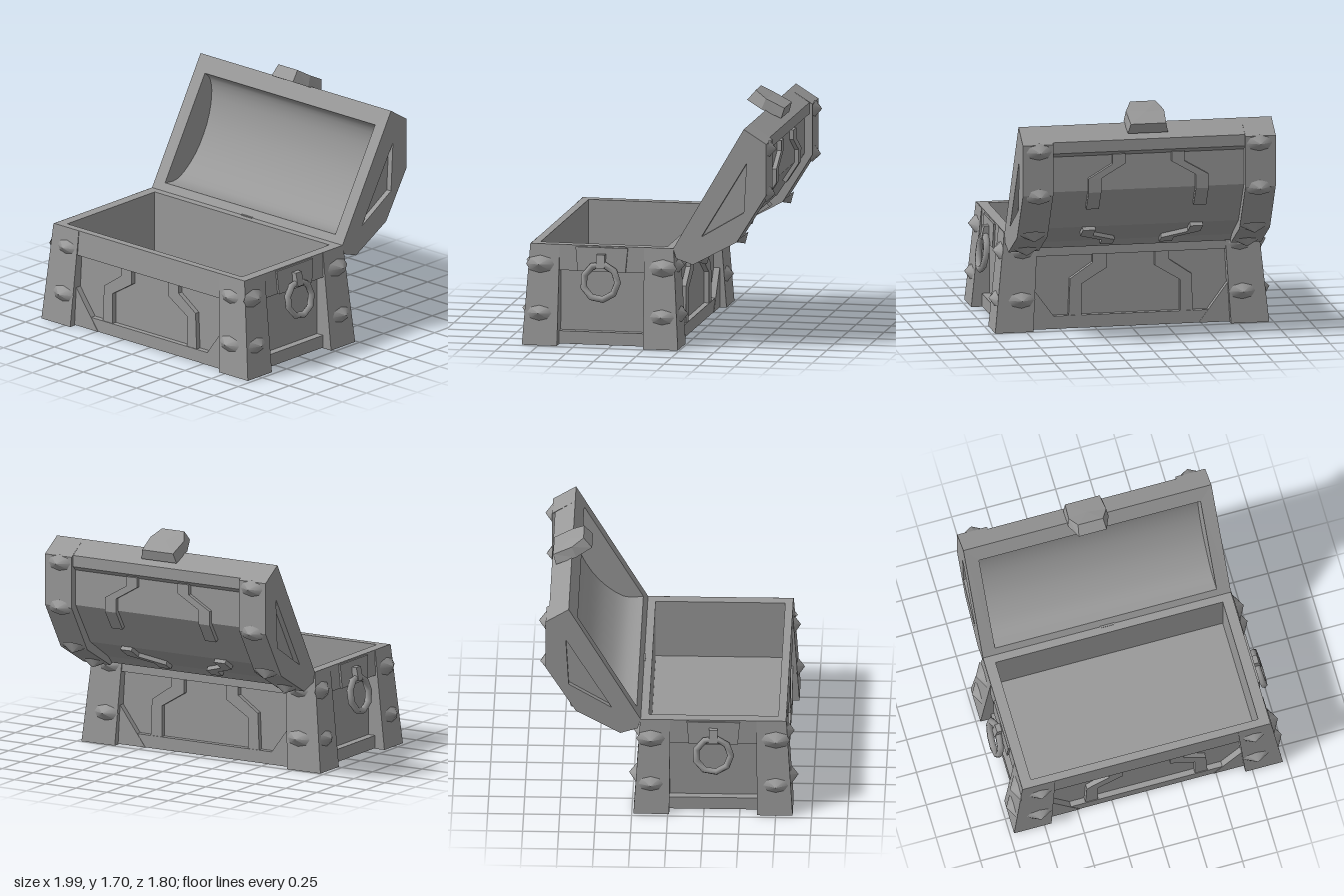
import * as THREE from 'three';

export function createModel() {
  const root = new THREE.Group();
  root.name = 'openChest';
  const grey = new THREE.MeshStandardMaterial({ color: 0x999999, side: THREE.DoubleSide });
  grey.name = 'plainGrey';

  const add = (name, geo, parent) => {
    const m = new THREE.Mesh(geo, grey);
    m.name = name;
    parent.add(m);
    return m;
  };

  // Open surface through rows of points with equal counts
  function sheet(rows, smooth = false) {
    const n = rows[0].length, index = [];
    for (let r = 0; r < rows.length - 1; r++) {
      for (let i = 0; i < n - 1; i++) {
        const a = r * n + i, b = a + n;
        index.push(a, a + 1, b + 1, a, b + 1, b);
      }
    }
    let g = new THREE.BufferGeometry();
    g.setAttribute('position', new THREE.Float32BufferAttribute(rows.flat(2), 3));
    g.setIndex(index);
    if (!smooth) g = g.toNonIndexed();
    g.computeVertexNormals();
    return g;
  }
  const closed = (pts) => [...pts, pts[0]];
  const centre = (loop) => [0, 1, 2].map((k) => loop.reduce((t, p) => t + p[k], 0) / loop.length);
  const fan = (loop) => Array(loop.length + 1).fill(centre(loop));

  // Solid through loops, closed at both ends
  const solid = (loops) => sheet([fan(loops[0]), ...loops.map(closed), fan(loops[loops.length - 1])]);

  // Horizontal rectangles [x0, x1, z0, z1] at a height
  const rect = ([x0, x1, z0, z1], y) => [[x0, y, z1], [x1, y, z1], [x1, y, z0], [x0, y, z0]];
  const ring = (x, z, y) => closed(rect([-x, x, -z, z], y));
  const block = (y0, r0, y1, r1 = r0) => solid([rect(r0, y0), rect(r1, y1)]);

  const toShape = (pts) => new THREE.Shape(pts.map((p) => new THREE.Vector2(...p)));
  const plate = (pts, z, depth) =>
    new THREE.ExtrudeGeometry(toShape(pts), { depth, bevelEnabled: false }).translate(0, 0, z);

  // Side profiles use u = -z, v = y
  const strip = (pts, x0, x1, smooth) =>
    sheet([x0, x1].map((x) => pts.map(([u, v]) => [x, v, -u])), smooth);
  function sidePlate(pts, x, hole) {
    const s = toShape(pts);
    if (hole) s.holes.push(new THREE.Path(hole.map((p) => new THREE.Vector2(...p))));
    return new THREE.ShapeGeometry(s).rotateY(Math.PI / 2).translate(x, 0, 0);
  }

  // Low pointed boss facing a direction, flattened along one of its axes
  function boss(parent, pos, dir, sx, sz) {
    const m = add('boss', new THREE.ConeGeometry(0.1, 0.055, 8, 1, true), parent);
    const d = new THREE.Vector3(...dir).normalize();
    m.quaternion.setFromUnitVectors(new THREE.Vector3(0, 1, 0), d);
    m.scale.set(sx, 1, sz);
    m.position.set(...pos).addScaledVector(d, 0.022);
  }

  // ---- Base, centred on its own origin ----
  const base = new THREE.Group();
  base.name = 'base';
  base.position.z = 0.315;
  root.add(base);

  add('walls', sheet([ring(0.84, 0.465, 0.1), ring(0.84, 0.465, 0.53)]), base);
  add('rim', sheet([ring(0.84, 0.465, 0.53), ring(0.9, 0.51, 0.53),
    ring(0.895, 0.505, 0.71), ring(0.82, 0.45, 0.71)]), base);
  add('cavity', sheet([ring(0.82, 0.45, 0.71), ring(0.82, 0.45, 0.28)]), base);
  add('floor', sheet([[[-0.82, 0.28, 0.45], [0.82, 0.28, 0.45]],
    [[-0.82, 0.28, -0.45], [0.82, 0.28, -0.45]]]), base);

  const strapPts = [[0.17, 0.53], [0.17, 0.43], [0.35, 0.32], [0.35, 0.1],
    [0.44, 0.1], [0.43, 0.36], [0.27, 0.47], [0.27, 0.53]];
  const gussetPts = [[0.7, 0.31], [0.48, 0.01], [0.7, 0.01]];
  const postFoot = [[0.7, 0.465], [0.7, 0.553], [0.97, 0.553], [0.97, 0.305], [0.84, 0.305]];
  const postHead = [[0.66, 0.465], [0.66, 0.508], [0.898, 0.508], [0.898, 0.3], [0.83, 0.3]];

  // Front and back are the same half turned around
  for (const turn of [0, Math.PI]) {
    const half = new THREE.Group();
    half.name = turn ? 'backHalf' : 'frontHalf';
    half.rotation.y = turn;
    base.add(half);

    add('longBottomRail', block(0.01, [-0.72, 0.72, 0.45, 0.505], 0.1), half);
    add('shortBottomRail', block(0.01, [0.83, 0.895, -0.32, 0.32], 0.1), half);

    for (const s of [-1, 1]) {
      const mir = (pts) => pts.map(([x, y]) => [s * x, y]);
      add('strap', plate(mir(strapPts), 0.465, 0.035), half);
      add('gusset', plate(mir(gussetPts), 0.465, 0.043), half);

      // Corner post wrapping around the edge
      add('cornerPost', sheet([[postFoot, 0.005], [postHead, 0.709]]
        .map(([pts, y]) => pts.map(([x, z]) => [s * x, y, z]))), half);
      for (const [y, out] of [[0.23, 0.035], [0.57, 0.008]]) {
        boss(half, [s * (0.765 + out / 2), y, 0.504 + out], [0, 0.06, 1], 1, 0.62);
        boss(half, [s * (0.91 + out), y, 0.435], [s, 0.1, 0], 0.62, 1);
      }
    }

    // Ring handle on each short side
    add('handlePlate', block(0.53, [0.89, 0.915, -0.17, 0.17], 0.7, [0.88, 0.908, -0.185, 0.185]), half);
    add('handleLoop', block(0.56, [0.9, 0.965, -0.03, 0.03], 0.655, [0.9, 0.945, -0.03, 0.03]), half);
    const handle = add('handleRing', new THREE.TorusGeometry(0.123, 0.024, 6, 9)
      .rotateY(Math.PI / 2).rotateZ(0.15), half);
    handle.position.set(0.952, 0.465, 0);
  }

  // ---- Lid, swung open ----
  const lid = new THREE.Group();
  lid.name = 'lid';
  root.add(lid);
  const outer = [[0.19, 0.71], [0.21, 0.64], [0.33, 0.6], [0.64, 0.77], [0.85, 1.11], [0.85, 1.47], [0.69, 1.57]];
  const barrel = [[0.19, 0.71], [0.21, 0.645], [0.31, 0.615], [0.36, 0.67], [0.6, 0.82],
    [0.795, 1.12], [0.795, 1.37], [0.83, 1.4], [0.83, 1.48], [0.69, 1.57]];
  const arc = new THREE.SplineCurve([[0.63, 1.46], [0.685, 1.4], [0.7, 1.27], [0.65, 1.08], [0.53, 0.89], [0.36, 0.76], [0.22, 0.76]]
    .map((p) => new THREE.Vector2(...p)));
  const inner = arc.getPoints(18).map((p) => [p.x, p.y]);
  const triangle = [[0.71, 1.33], [0.39, 0.8], [0.69, 0.98]];

  // Slanted rim as a frame between two rectangles
  const mouth = (x, [u0, v0], [u1, v1]) =>
    closed([[-x, v0, -u0], [x, v0, -u0], [x, v1, -u1], [-x, v1, -u1]]);
  add('lidRim', sheet([mouth(0.895, [0.19, 0.71], [0.69, 1.57]), mouth(0.8, [0.22, 0.76], [0.63, 1.46])]), lid);
  add('lidBarrel', strip(barrel, -0.68, 0.68), lid);
  add('lidLining', strip(inner, -0.8, 0.8, true), lid);

  for (const s of [-1, 1]) {
    add('lidBand', strip(outer, s * 0.68, s * 0.895), lid);
    add('lidBandStep', sidePlate([...outer.slice(2, 6), ...barrel.slice(2, 9).reverse()], s * 0.68), lid);
    add('lidLiningEnd', sidePlate(inner, s * 0.8), lid);
    add('lidEnd', sidePlate(outer, s * 0.895, triangle), lid);

    // Sunken triangle in the lid end
    const [edge, sunk] = [0.895, 0.855].map((x) => triangle.map(([u, v]) => [s * x, v, -u]));
    add('lidEndRecess', sheet([closed(edge), closed(sunk), fan(sunk)]), lid);

    for (const [u, v, du, dv] of [[0.85, 1.42, 1, 0], [0.842, 1.105, 0.98, -0.1],
      [0.65, 0.785, 0.55, -0.83], [0.38, 0.63, 0.5, -0.87]]) {
      boss(lid, [s * 0.78, v, -u], [0, dv, -du], 1, 0.62);
    }

    // Raised straps following the barrel: [x, u, v, outward u, outward v]
    const straps = [
      [[0.21, 0.795, 1.38, 1, 0], [0.21, 0.795, 1.31, 1, 0], [0.38, 0.795, 1.21, 1, 0],
        [0.38, 0.795, 1.12, 0.95, -0.3], [0.38, 0.71, 0.99, 0.84, -0.54]],
      [[0.21, 0.35, 0.665, 0.53, -0.85], [0.21, 0.42, 0.708, 0.53, -0.85],
        [0.38, 0.51, 0.764, 0.53, -0.85], [0.38, 0.6, 0.82, 0.7, -0.7]],
    ];
    for (const path of straps) {
      add('lidStrap', solid(path.map(([x, u, v, nu, nv]) => [[-1, 0], [1, 0], [1, 0.03], [-1, 0.03]]
        .map(([w, h]) => [s * x + w * 0.045, v + nv * h, -(u + nu * h)]))), lid);
    }
  }

  // Faceted clasp on the lid edge: half outline [x, y, z] mirrored into a loop
  const loop = (pts) => [...pts, ...pts.map(([x, y, z]) => [-x, y, z]).reverse()];
  add('clasp', solid([
    loop([[0.142, 1.515, -0.8], [0.145, 1.575, -0.66], [0.1, 1.63, -0.55]]),
    loop([[0.125, 1.585, -0.82], [0.135, 1.65, -0.69], [0.09, 1.7, -0.61]]),
  ]), lid);

  // Small hinge at the back
  add('hinge', block(0.62, [-0.04, 0.04, -0.25, -0.18], 0.715, [-0.05, 0.05, -0.225, -0.18]), root);
  return root;
}
